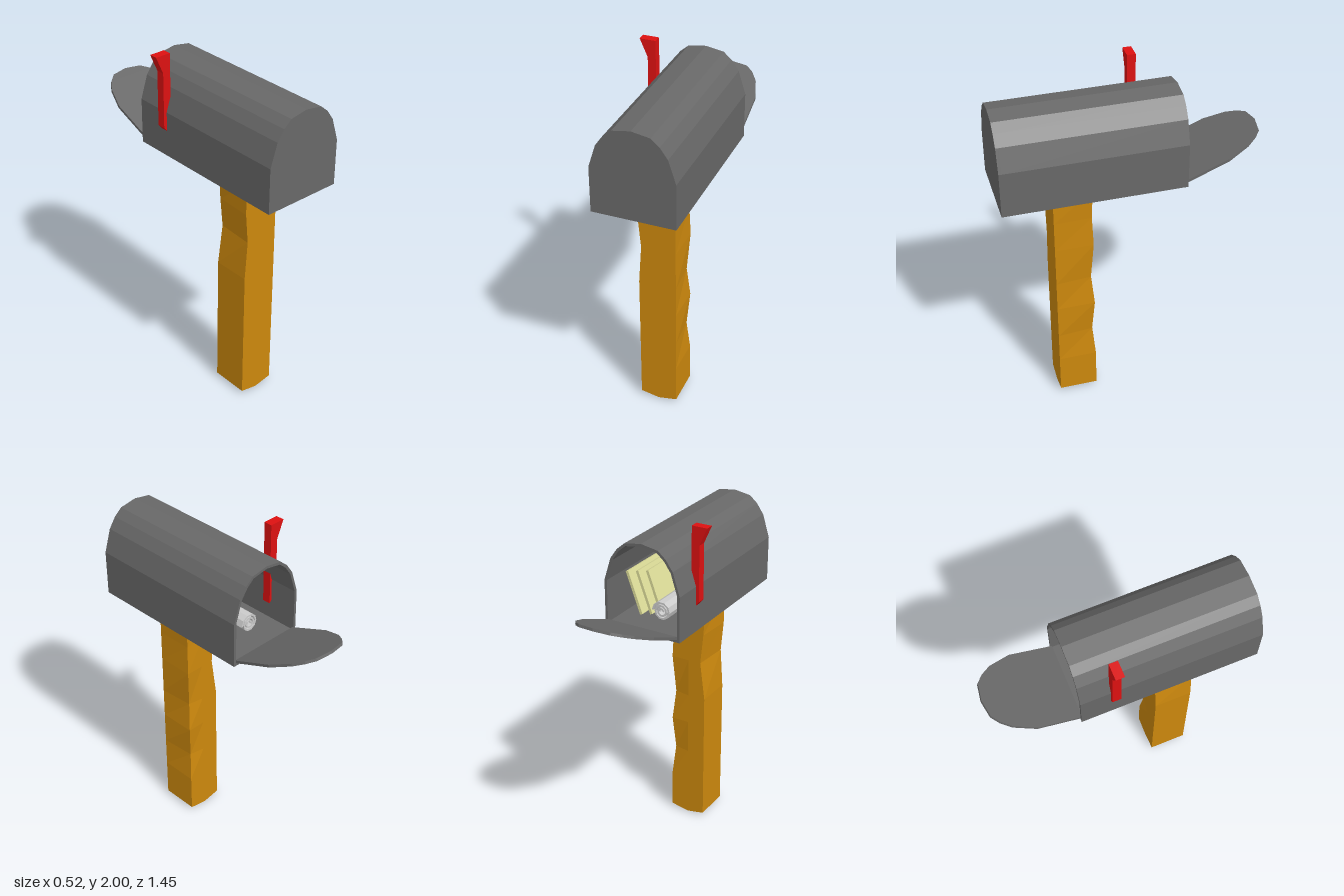
import * as THREE from 'three';

const CX = 0.03; // centre line of the mailbox and post

function mat(color, side = THREE.FrontSide) {
  return new THREE.MeshStandardMaterial({ color, flatShading: true, side });
}

function add(group, name, geometry, material) {
  const mesh = new THREE.Mesh(geometry, material);
  mesh.name = name;
  group.add(mesh);
  return mesh;
}

function extrude(shape, depth) {
  return new THREE.ExtrudeGeometry(shape, { depth, bevelEnabled: false });
}

// Faceted arch outline: half width, bottom, start of the curve, top
function archPoints(hw, y0, spring, top) {
  const half = [[1, 0], [0.82, 0.53], [0.64, 0.77], [0.44, 0.93]];
  const at = ([u, v], s) => new THREE.Vector2(s * u * hw, spring + v * (top - spring));
  return [
    new THREE.Vector2(-hw, y0), new THREE.Vector2(hw, y0),
    ...half.map(p => at(p, 1)),
    new THREE.Vector2(0, top),
    ...half.slice().reverse().map(p => at(p, -1)),
  ];
}

// Worn post: rings of six corners, with chips along three of the edges
function postGeometry() {
  const w = 0.107, z0 = 0.22, z1 = 0.437;
  // height, inset of the -x edges (back, front), inset of the +x back edge
  const levels = [
    [0.02, 0, 0, 0], [0.25, 0, 0, 0], [0.43, 0, 0, 0.016], [0.63, 0, 0, 0],
    [0.81, 0, 0, 0.016], [1.04, 0.03, 0.016, 0], [1.22, 0.012, 0, 0.006], [1.4, 0, 0, 0],
  ];
  const pos = [], idx = [], n = 6, last = levels.length - 1;
  levels.forEach(([y, back, front, chip], i) => {
    const mid = i === 0 ? 0 : i === last ? 1.412 : y;
    pos.push(
      CX - w + front, y, z1, CX, mid, z1, CX + w, y, z1,
      CX + w - chip, y, z0 + chip, CX, mid, z0, CX - w + back, y, z0);
    if (i < last) for (let k = 0; k < n; k++) {
      const a = i * n + k, b = i * n + (k + 1) % n;
      idx.push(a, b, b + n, a, b + n, a + n);
    }
  });
  // ridged end caps
  for (const [a, b, c, d] of [[0, 1, 4, 5], [1, 2, 3, 4]]) {
    const t = last * n;
    idx.push(a, c, b, a, d, c, t + a, t + b, t + c, t + a, t + c, t + d);
  }
  const g = new THREE.BufferGeometry();
  g.setAttribute('position', new THREE.Float32BufferAttribute(pos, 3));
  g.setIndex(idx);
  const flat = g.toNonIndexed();
  flat.computeVertexNormals();
  return flat;
}

// Rolled paper: a spiral strip with some thickness
function rollGeometry(length) {
  const outer = [], inner = [], sides = 10, turns = 2.5;
  for (let i = 0; i <= sides * turns; i++) {
    const a = i / sides * Math.PI * 2, r = 0.06 - 0.017 * i / sides;
    outer.push(new THREE.Vector2(Math.cos(a) * r, Math.sin(a) * r));
    inner.push(new THREE.Vector2(Math.cos(a) * (r - 0.011), Math.sin(a) * (r - 0.011)));
  }
  return extrude(new THREE.Shape([...outer, ...inner.reverse()]), length);
}

export function createModel() {
  const model = new THREE.Group();
  model.name = 'mailbox';
  const metal = mat(0x686868);

  // Hollow arched body, open at the back
  const shell = new THREE.Shape(archPoints(0.23, 1.412, 1.67, 1.915));
  shell.holes.push(new THREE.Path(archPoints(0.215, 1.427, 1.67, 1.9)));
  add(model, 'body', extrude(shell, 0.985), metal).position.set(CX, 0, -0.27);

  // Closed end
  const end = new THREE.Shape(archPoints(0.23, 1.412, 1.67, 1.915));
  add(model, 'endPanel', extrude(end, 0.015), metal).position.set(CX, 0, 0.715);

  // Open door, hinged at the floor
  const doorShape = new THREE.Shape(archPoints(0.215, 0, 0.253, 0.49));
  const door = add(model, 'door', extrude(doorShape, 0.015), metal);
  door.position.set(CX, 1.427, -0.267);
  door.rotation.x = THREE.MathUtils.degToRad(-68);

  add(model, 'post', postGeometry(), mat(0xcc880d));

  // Raised signal flag
  const flag = new THREE.Shape([
    [-0.262, 2], [-0.218, 1.9], [-0.218, 1.585], [-0.172, 1.525], [-0.172, 2],
  ].map(p => new THREE.Vector2(...p)));
  add(model, 'flag', extrude(flag, 0.048), mat(0xdd1111)).position.z = -0.105;

  // Letters leaning on the side wall
  const paper = mat(0xdddd99);
  for (let i = 0; i < 3; i++) {
    const letter = add(model, 'letter', new THREE.BoxGeometry(0.016, 0.25, 0.38), paper);
    letter.position.set(0.18 - i * 0.045, 1.552, 0.08 + i * 0.03);
    letter.rotation.z = -0.36;
  }

  // Rolled newspaper on the floor
  add(model, 'newspaper', rollGeometry(0.45), mat(0xcccccc, THREE.DoubleSide))
    .position.set(0, 1.488, -0.124);

  return model;
}
